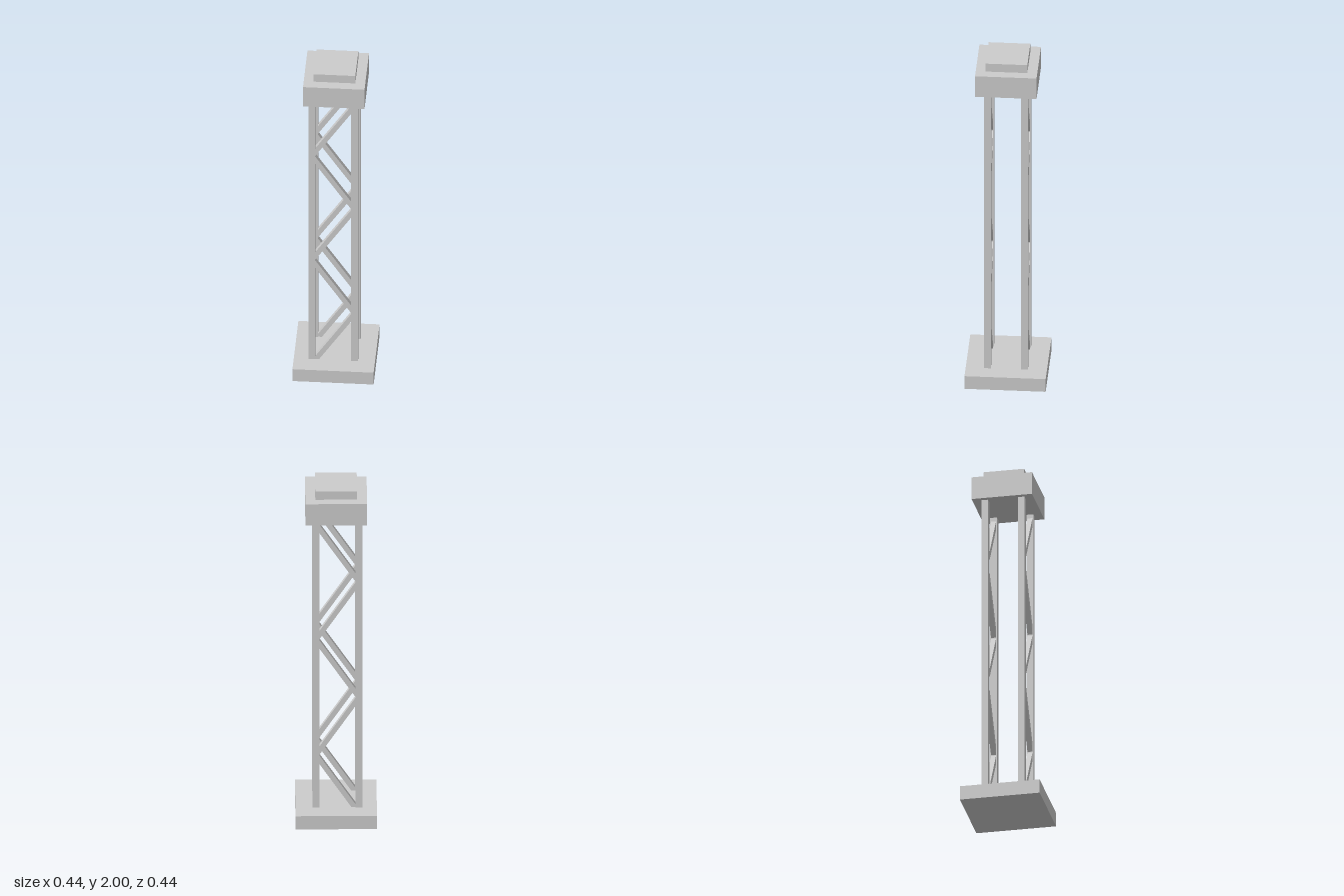
import * as THREE from 'three';

export function createModel() {
  const model = new THREE.Group();
  const material = new THREE.MeshStandardMaterial({ color: 0xcccccc, flatShading: true });

  function box(name, w, h, d, x, y, z) {
    const mesh = new THREE.Mesh(new THREE.BoxGeometry(w, h, d), material);
    mesh.name = name;
    mesh.position.set(x, y, z);
    model.add(mesh);
    return mesh;
  }

  const baseTop = 0.08, capBottom = 1.82, capTop = 1.95;
  const postX = [-0.123, 0.11];
  const postZ = [0.103, -0.099];

  // Stepped slabs at the foot and the head
  box('base', 0.442, baseTop, 0.442, 0, baseTop / 2, 0);
  box('cap', 0.335, capTop - capBottom, 0.335, 0, (capBottom + capTop) / 2, 0);
  box('topPlate', 0.227, 2 - capTop, 0.227, 0, (capTop + 2) / 2, 0);

  // Four corner posts
  for (const x of postX) {
    for (const z of postZ) {
      box('post', 0.037, capBottom - baseTop, 0.037, x, (baseTop + capBottom) / 2, z);
    }
  }

  // Zigzag braces between the posts, on the front and the back only
  const braceStart = 0.045, rise = 0.351, braceCount = 5;
  const span = postX[1] - postX[0];
  const midX = (postX[0] + postX[1]) / 2;
  for (const z of postZ) {
    for (let i = 0; i < braceCount; i++) {
      const brace = box('brace', 0.028, Math.hypot(span, rise), 0.028,
        midX, braceStart + (i + 0.5) * rise, z);
      brace.rotation.z = (i % 2 ? 1 : -1) * Math.atan2(span, rise);
    }
  }

  return model;
}
